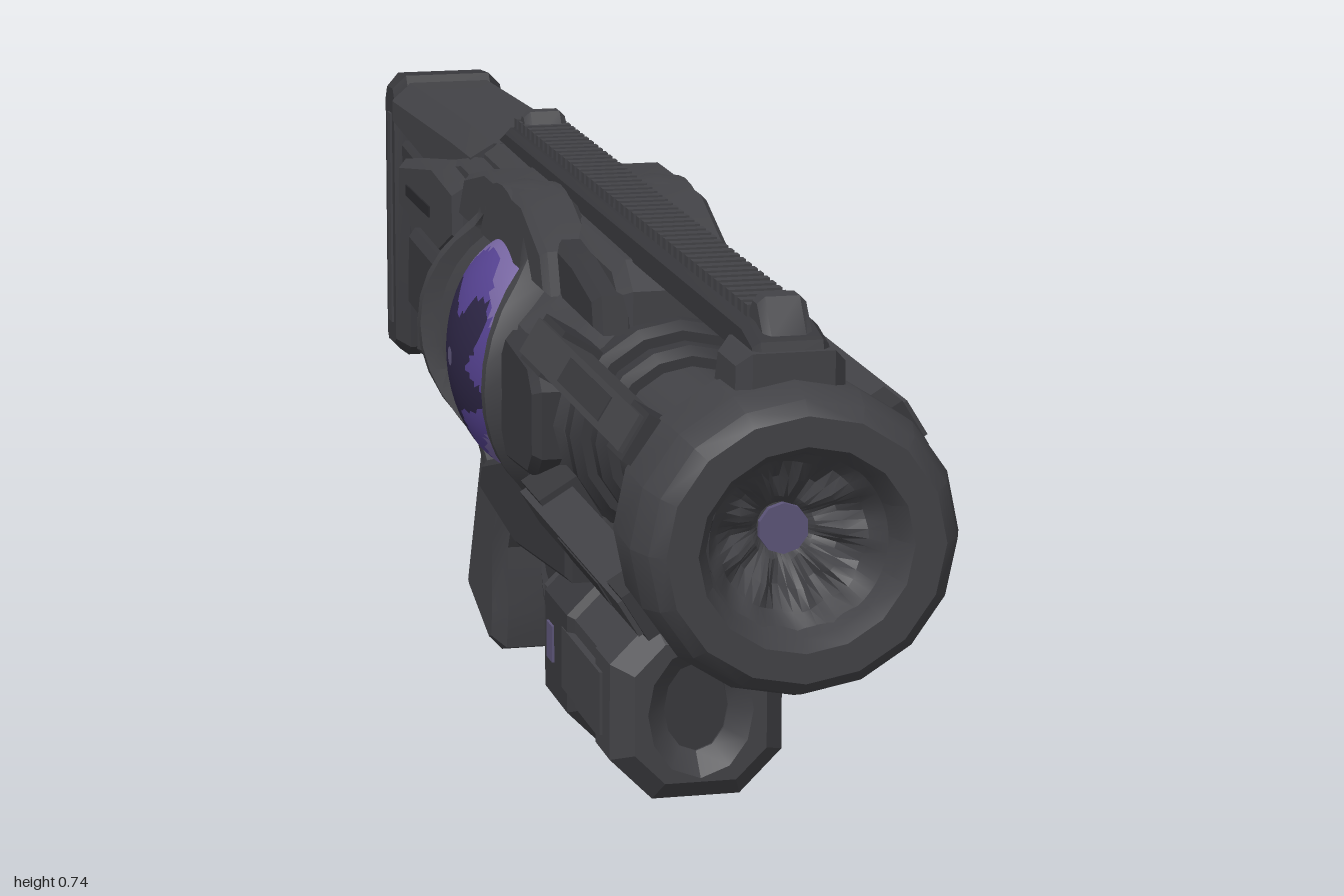
import * as THREE from 'three';
import { toCreasedNormals } from 'three/addons/utils/BufferGeometryUtils.js';

const material = (name, color) => new THREE.MeshStandardMaterial({ name, color });

export function createModel() {
  const root = new THREE.Group();
  root.name = 'energyLauncher';
  const metal = material('gunmetal', 0x424246);
  const dark = material('darkMetal', 0x38383c);
  const black = material('recessBlack', 0x29292d);
  const violet = material('violetGlass', 0x54418f);
  const pale = material('paleViolet', 0x75649f);
  const deep = material('deepViolet', 0x2c2544);
  const glow = material('mutedGlow', 0x5c5478);
  const CY = 0.49; // height of the barrel axis

  const add = (name, geo, mat, x = 0, y = 0, z = 0) => {
    const mesh = new THREE.Mesh(toCreasedNormals(geo, 0.5), mat);
    mesh.name = name;
    mesh.position.set(x, y, z);
    root.add(mesh);
    return mesh;
  };
  const box = (name, w, h, d, x, y, z, mat = metal) => add(name, new THREE.BoxGeometry(w, h, d), mat, x, y, z);
  const both = (fn) => [1, -1].forEach(fn);

  // Side outline of [z, y] points, thickened along x
  const side = (name, pts, half, mat = metal, x = 0, bevel = 0.015) => {
    const shape = new THREE.Shape(pts.map(([z, y]) => new THREE.Vector2(z, y)));
    const depth = 2 * (half - bevel);
    const geo = new THREE.ExtrudeGeometry(shape, {
      depth, bevelSize: bevel, bevelThickness: bevel, bevelOffset: -bevel, bevelSegments: 1,
    });
    geo.translate(0, 0, -depth / 2).rotateY(-Math.PI / 2);
    return add(name, geo, mat, x);
  };
  // Profile of [radius, height] points, turned about y
  const lathe = (pts, sides) => new THREE.LatheGeometry(pts.map((p) => new THREE.Vector2(...p)), sides);
  // Turned part along z from [radius, z] points, back to front
  const turned = (name, pts, mat = metal, sides = 20, sx = 1) =>
    add(name, lathe(pts, sides).rotateX(Math.PI / 2).scale(sx, 1, 1), mat, 0, CY);
  // Chamfered cross-section, run along z
  const chamfered = (name, w, h, c, z0, z1, y, mat, bevel = 0.015, hole = null) => {
    const s = new THREE.Shape([[w - c, -h], [w, c - h], [w, h - c], [w - c, h], [c - w, h], [-w, h - c], [-w, c - h], [c - w, -h]]
      .map((p) => new THREE.Vector2(...p)));
    if (hole) s.holes.push(new THREE.Path().absellipse(0, 0, hole[0], hole[1], 0, Math.PI * 2, true));
    const geo = new THREE.ExtrudeGeometry(s, {
      depth: z1 - z0 - 2 * bevel, bevelSize: bevel, bevelThickness: bevel, bevelOffset: -bevel, bevelSegments: 1, curveSegments: 6,
    });
    return add(name, geo, mat, 0, y, z0 + bevel);
  };
  const tube = (name, pts, r, mat = dark) => add(name, new THREE.TubeGeometry(
    new THREE.CatmullRomCurve3(pts.map((p) => new THREE.Vector3(...p))), 20, r, 7), mat);

  // Muzzle with a fluted mouth and a faint core
  turned('muzzle', [[0.08, 0.81], [0.135, 0.81], [0.15, 0.835], [0.168, 0.86], [0.171, 0.95], [0.16, 0.985],
    [0.145, 1], [0.112, 1], [0.1, 0.98], [0.092, 0.94]], metal, 16, 1.05);
  const mouth = lathe([[0.098, 0.965], [0.082, 0.94], [0.06, 0.92], [0.035, 0.9], [0.025, 0.885], [0, 0.885]], 54).rotateX(Math.PI / 2);
  const mp = mouth.attributes.position;
  for (let i = 0; i < mp.count; i++) {
    const r = Math.hypot(mp.getX(i), mp.getY(i)), a = Math.atan2(mp.getY(i), mp.getX(i));
    mp.setZ(i, mp.getZ(i) + 0.016 * Math.sin(9 * a + 25 * r) * Math.max(0, 1 - Math.abs(r - 0.062) / 0.036));
  }
  add('muzzleMouth', mouth, metal, 0, CY);
  add('muzzleCore', new THREE.CylinderGeometry(0.028, 0.028, 0.008, 10).rotateX(Math.PI / 2), glow, 0, CY, 0.9);

  // Inner barrel with collars
  turned('barrel', [[0.088, 0.36], [0.088, 0.84]], metal, 16);
  [[0.43, 0.13], [0.475, 0.11], [0.8, 0.12]].forEach(([z, r]) =>
    turned('barrelCollar', [[0.07, z - 0.025], [r - 0.01, z - 0.025], [r, z - 0.012], [r, z + 0.012], [r - 0.01, z + 0.025], [0.07, z + 0.025]], dark, 16));

  // Four cage bars with end clamps
  both((s) => both((v) => {
    [[0.05, 0.045, 0.5, 0.61, 0], [0.052, 0.06, 0.1, 0.4, -0.008], [0.048, 0.058, 0.07, 0.835, -0.004],
      [0.03, 0.03, 0.2, 0.65, 0.01]].forEach(([w, h, d, z, out], i) => {
      const b = box(i ? 'cageClamp' : 'cageBar', w, h, d, s * (0.138 + out), CY + v * (0.09 + out * 0.6), z, i ? dark : metal);
      b.rotation.z = s * v * 0.55;
    });
  }));

  // Front housing, shoulders beside the rail and lower skirts
  turned('frontHousing', [[0, 0.1], [0.155, 0.1], [0.16, 0.24], [0.15, 0.27], [0.15, 0.36], [0.13, 0.41], [0, 0.41]], metal, 12);
  both((s) => {
    side('frontSidePlate', [[0.39, 0.53], [0.36, 0.56], [0.23, 0.57], [0.2, 0.54], [0.2, 0.44], [0.23, 0.41], [0.36, 0.42], [0.39, 0.45]], 0.022, dark, s * 0.139, 0.01);
    side('lowerSkirt', [[0.39, 0.3], [0.39, 0.37], [0.15, 0.4], [-0.1, 0.33], [-0.12, 0.29], [0.1, 0.27]], 0.025, dark, s * 0.098, 0.008);
    side('topShoulder', [[0.24, 0.61], [0.22, 0.66], [0.11, 0.7], [-0.11, 0.7], [-0.24, 0.67], [-0.28, 0.61]], 0.035, metal, s * 0.08, 0.008);
    side('frontShoulder', [[0.42, 0.6], [0.41, 0.645], [0.3, 0.665], [0.2, 0.67], [0.2, 0.6]], 0.025, dark, s * 0.07, 0.01);
  });
  side('underBody', [[0.39, 0.31], [0.39, 0.42], [-0.15, 0.42], [-0.16, 0.3], [-0.08, 0.27], [0.15, 0.28]], 0.09);
  side('topBody', [[0.42, 0.58], [0.42, 0.65], [0.38, 0.68], [-0.36, 0.69], [-0.4, 0.58]], 0.065);

  // Round core holding the orb
  add('orbDrum', new THREE.CylinderGeometry(0.2, 0.2, 0.13, 28).rotateZ(Math.PI / 2), dark, 0, CY, 0);
  both((s) => {
    // Flanged ring with a shallow bowl, wrapped round the sides of the body
    [['orbRing', [[0.206, -0.09], [0.214, -0.035], [0.21, 0], [0.19, 0], [0.178, -0.022], [0.16, -0.034]], metal],
      ['orbSeat', [[0.161, -0.034], [0.148, -0.05], [0.135, -0.075]], dark]].forEach(([name, profile, mat]) => {
      const geo = lathe(profile, 40).rotateZ(-Math.PI / 2);
      if (s < 0) geo.rotateY(Math.PI);
      const p = geo.attributes.position;
      for (let i = 0; i < p.count; i++) {
        const y = p.getY(i);
        p.setX(i, p.getX(i) + s * Math.max(0.115, Math.sqrt(Math.max(0, 0.033 - y * y))));
      }
      add(name, geo, mat, 0, CY, 0);
    });
    // Glass lens, faces coloured by a swirl around its centre
    const lens = new THREE.SphereGeometry(1, 60, 20, 0, Math.PI * 2, 0, Math.PI / 2)
      .rotateZ(-Math.PI / 2).scale(0.102, 0.15, 0.15).toNonIndexed();
    const q = lens.attributes.position;
    let start = 0, last = -1;
    for (let i = 0; i <= q.count; i += 3) {
      let m = -2;
      if (i < q.count) {
        const y = (q.getY(i) + q.getY(i + 1) + q.getY(i + 2)) / 3;
        const z = (q.getZ(i) + q.getZ(i + 1) + q.getZ(i + 2)) / 3;
        const r = Math.hypot(y, z), a = Math.atan2(y, z);
        const swirl = 0.083 + 0.022 * Math.sin(5 * a + r * 25) + 0.008 * Math.sin(3 * a);
        m = r < 0.014 ? 3 : r < swirl ? 1 : r > 0.122 + 0.012 * Math.sin(4 * a + 1) ? 2 : 0;
      }
      if (m !== last) {
        if (last >= 0) lens.addGroup(start, i - start, last);
        start = i;
        last = m;
      }
    }
    const orb = new THREE.Mesh(lens, [violet, deep, pale, glow]);
    orb.name = 'orbLens';
    orb.position.set(s * 0.08, CY, 0);
    if (s < 0) orb.rotation.y = Math.PI;
    root.add(orb);
    // Bracket behind the ring
    side('rearBracket', [[-0.18, 0.57], [-0.24, 0.54], [-0.36, 0.52], [-0.36, 0.46], [-0.24, 0.43], [-0.18, 0.4]], 0.04, dark, s * 0.1, 0.012);
  });

  // Top rail, its teeth and both sights
  side('railBar', [[0.94, 0.67], [0.93, 0.7], [0.88, 0.712], [-0.33, 0.712], [-0.38, 0.69], [-0.36, 0.67]], 0.042, dark, 0, 0.008);
  for (let i = 0; i < 46; i++) box('railTooth', 0.06, 0.018, 0.014, 0, 0.716, -0.32 + i * 0.026, metal);
  side('railFoot', [[0.94, 0.63], [0.94, 0.69], [0.84, 0.69], [0.82, 0.63]], 0.06);
  side('frontSight', [[0.92, 0.7], [0.89, 0.74], [0.865, 0.74], [0.83, 0.7]], 0.027, metal, 0, 0.008);
  side('rearSight', [[-0.25, 0.7], [-0.28, 0.74], [-0.3, 0.74], [-0.33, 0.7]], 0.027, metal, 0, 0.008);

  // Rear receiver with side panels
  side('receiver', [[-0.1, 0.66], [-0.38, 0.67], [-0.68, 0.61], [-0.68, 0.4], [-0.45, 0.39], [-0.28, 0.31], [-0.1, 0.3]], 0.09);
  both((s) => {
    side('receiverPanel', [[-0.3, 0.64], [-0.45, 0.65], [-0.69, 0.61], [-0.69, 0.54], [-0.4, 0.53], [-0.3, 0.57]], 0.028, metal, s * 0.088, 0.012);
    side('receiverLowerPanel', [[-0.36, 0.51], [-0.66, 0.52], [-0.67, 0.41], [-0.48, 0.4], [-0.36, 0.43]], 0.02, dark, s * 0.088, 0.01);
    box('receiverSlot', 0.008, 0.015, 0.16, s * 0.114, 0.58, -0.54, black);
    side('stockPanel', [[-0.7, 0.59], [-0.88, 0.6], [-0.88, 0.55], [-0.78, 0.5], [-0.7, 0.5]], 0.012, dark, s * 0.062, 0.005);
  });

  // Shoulder stock
  side('stockTop', [[-0.34, 0.69], [-0.5, 0.69], [-0.94, 0.675], [-0.94, 0.6], [-0.6, 0.58], [-0.36, 0.58]], 0.08, metal, 0, 0.025);
  side('stockArm', [[-0.6, 0.6], [-0.93, 0.62], [-0.93, 0.48], [-0.88, 0.45], [-0.72, 0.44], [-0.6, 0.41]], 0.06, metal);
  side('stockStrut', [[-0.66, 0.45], [-0.75, 0.46], [-0.79, 0.4], [-0.87, 0.355], [-0.92, 0.35], [-0.92, 0.285], [-0.84, 0.295], [-0.77, 0.345]], 0.05, metal, 0, 0.01);
  side('buttPad', [[-0.9, 0.3], [-0.9, 0.66], [-0.92, 0.685], [-0.98, 0.68], [-1, 0.65], [-1, 0.3], [-0.98, 0.28], [-0.92, 0.285]], 0.077, dark, 0, 0.018);
  box('buttBand', 0.16, 0.3, 0.02, 0, 0.48, -0.945, metal);

  // Pistol grip, trigger and guard
  side('grip', [[-0.24, 0.4], [-0.46, 0.4], [-0.42, 0.31], [-0.54, 0.055], [-0.52, 0.04], [-0.38, 0], [-0.35, 0.01], [-0.34, 0.06], [-0.34, 0.15], [-0.28, 0.25], [-0.27, 0.32]], 0.056, metal, 0, 0.018);
  side('trigger', [[-0.2, 0.33], [-0.25, 0.33], [-0.26, 0.27], [-0.22, 0.225], [-0.235, 0.27]], 0.015, dark, 0, 0.004);
  tube('triggerGuard', [[0, 0.31, -0.1], [0, 0.25, -0.13], [0, 0.205, -0.17], [0, 0.2, -0.25], [0, 0.23, -0.32]], 0.016, metal);

  // Underslung canister with a recessed nose
  chamfered('canisterBody', 0.097, 0.102, 0.048, 0.14, 0.51, 0.182, metal);
  chamfered('canisterNose', 0.102, 0.107, 0.05, 0.43, 0.55, 0.182, metal, 0.024, [0.038, 0.053]);
  add('noseRecess', new THREE.CylinderGeometry(0.048, 0.048, 0.006, 16).rotateX(Math.PI / 2).scale(1, 1.3, 1), dark, 0, 0.182, 0.52);
  chamfered('canisterBand', 0.105, 0.11, 0.05, 0.18, 0.33, 0.18, dark);
  chamfered('canisterTail', 0.085, 0.09, 0.04, 0.11, 0.17, 0.182, dark, 0.02);
  both((s) => {
    box('canisterSidePlate', 0.02, 0.075, 0.2, s * 0.096, 0.182, 0.39, metal);
    box('canisterLight', 0.008, 0.045, 0.03, s * 0.104, 0.185, 0.23, glow);
    // Hoses from the canister to the guard
    tube('hose', [[s * 0.035, 0.16, 0.13], [s * 0.045, 0.13, 0.06], [s * 0.04, 0.11, 0], [s * 0.03, 0.13, -0.07], [s * 0.012, 0.19, -0.13], [0, 0.2, -0.17]], 0.016);
    tube('upperHose', [[s * 0.05, 0.22, 0.13], [s * 0.06, 0.19, 0.07], [s * 0.05, 0.165, 0], [s * 0.04, 0.2, -0.07], [s * 0.03, 0.28, -0.09]], 0.013);
  });
  side('canisterMount', [[0.36, 0.26], [0.36, 0.33], [-0.08, 0.33], [-0.09, 0.22], [-0.05, 0.17], [0.05, 0.17], [0.12, 0.2], [0.2, 0.26]], 0.05, dark);

  return root;
}
